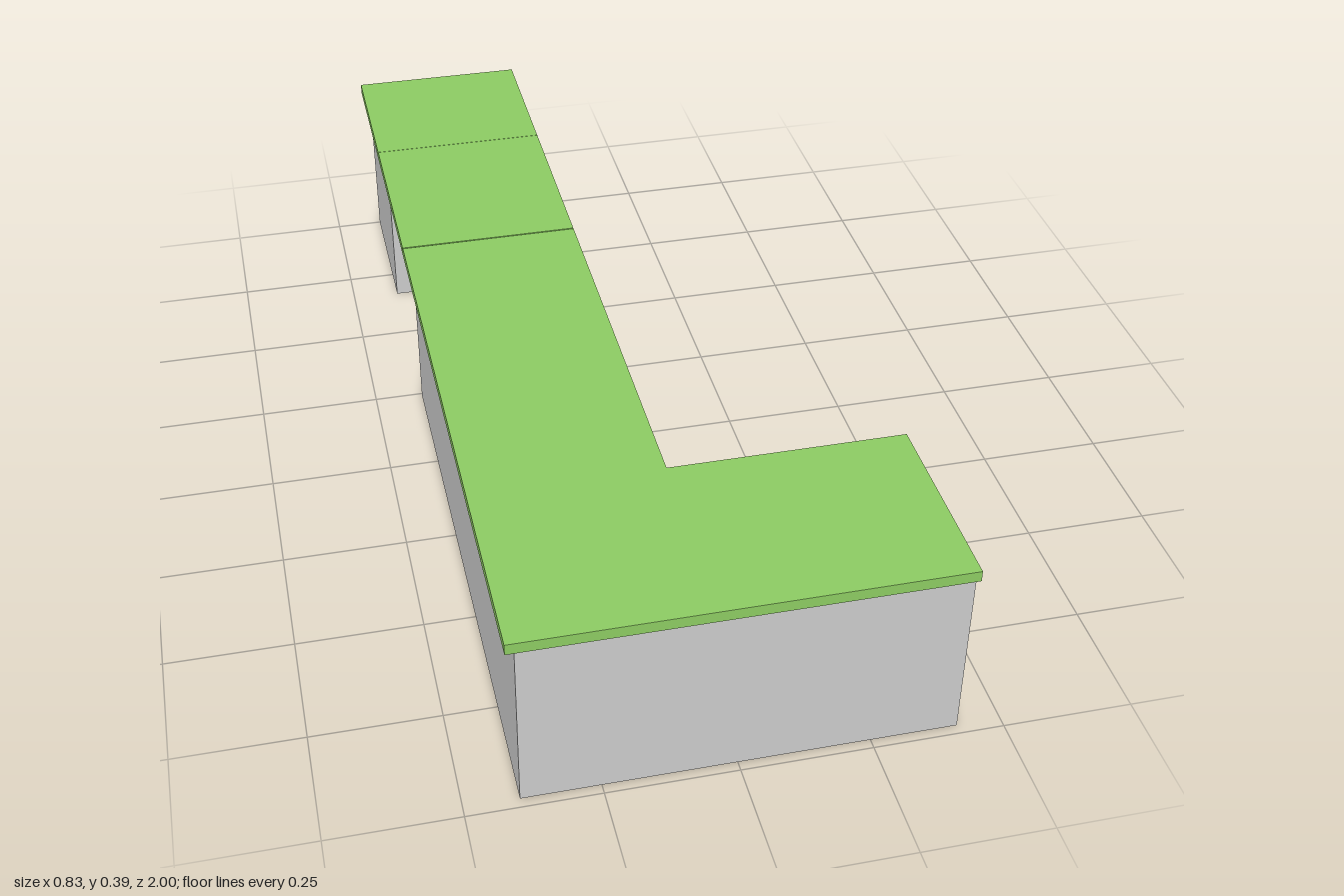
import * as THREE from 'three';

const TOP = 0.392, SEAT = 0.37;

// Vertical prism from an [x, z] outline
function prism(name, outline, y0, y1, material) {
  const shape = new THREE.Shape(outline.map(([x, z]) => new THREE.Vector2(x, -z)));
  const geometry = new THREE.ExtrudeGeometry(shape, { depth: y1 - y0, bevelEnabled: false });
  geometry.rotateX(-Math.PI / 2).translate(0, y0, 0);
  const mesh = new THREE.Mesh(geometry, material);
  mesh.name = name;
  return mesh;
}

const rect = (x0, x1, z0, z1) => [[x0, z1], [x1, z1], [x1, z0], [x0, z0]];

// L-shaped outline: a long run plus a short return at the front
const corner = (x0, zBack, zFront) => [
  [x0, zFront], [0.416, zFront], [0.416, 0.605], [-0.046, 0.605], [-0.046, zBack], [x0, zBack],
];

export function createModel() {
  const green = new THREE.MeshStandardMaterial({ color: 0x8cca62 });
  green.name = 'green worktop';
  const grey = new THREE.MeshStandardMaterial({ color: 0xcacaca });
  grey.name = 'grey cabinet';

  const group = new THREE.Group();
  group.name = 'counter';
  group.add(
    // Cabinets, set back under the front and outer edges
    prism('cornerCabinet', corner(-0.398, -0.242, 0.98), 0, SEAT, grey),
    prism('endCabinet', rect(-0.398, -0.046, -1, -0.664), 0, SEAT, grey),
    // Worktops, with fine joints either side of the open bay
    prism('cornerWorktop', corner(-0.417, -0.242, 1), SEAT, TOP, green),
    prism('bridgeWorktop', rect(-0.417, -0.046, -0.663, -0.245), SEAT, TOP, green),
    prism('endWorktop', rect(-0.417, -0.046, -1, -0.664), SEAT, TOP, green),
  );
  return group;
}
